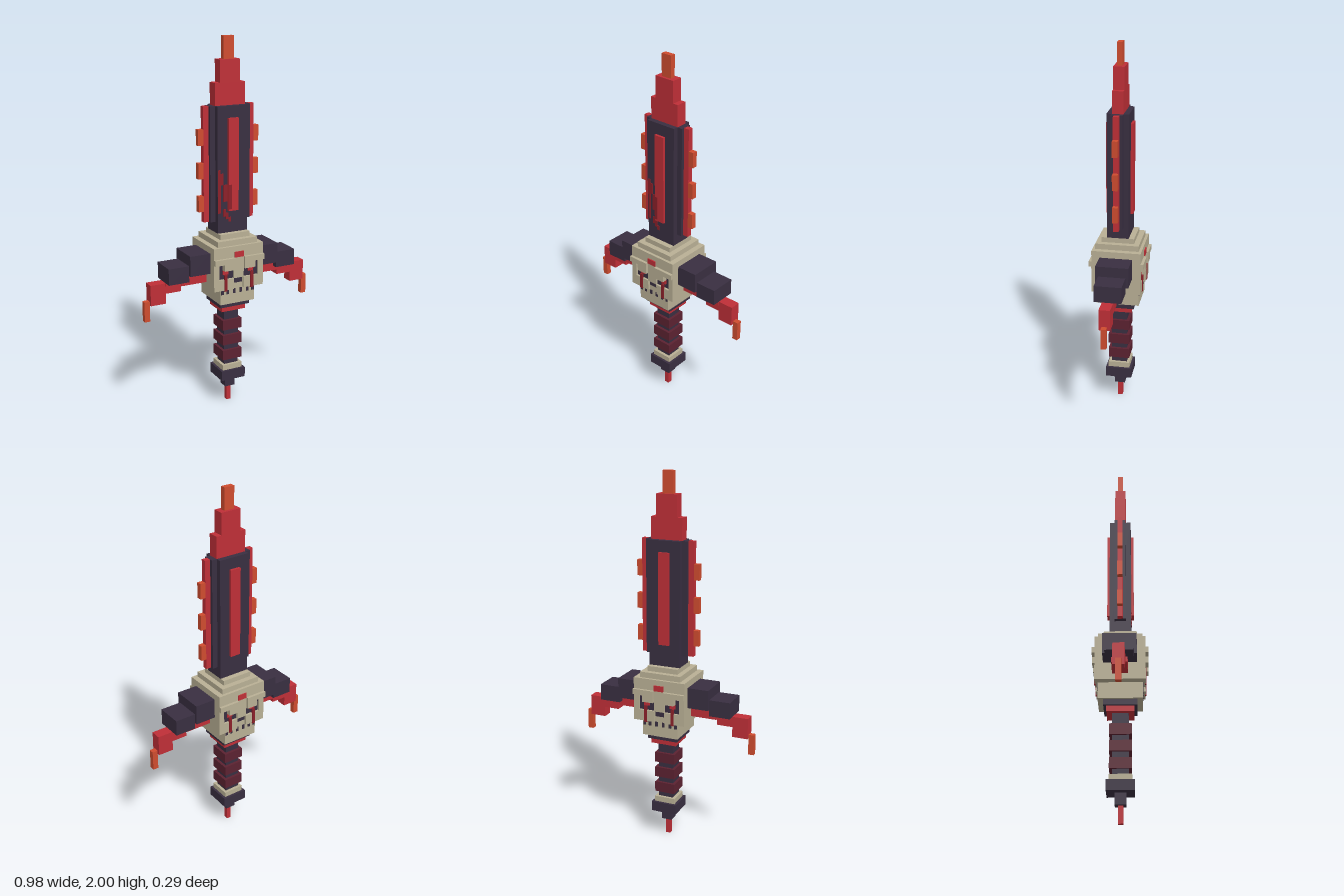
import * as THREE from 'three';

const mat = (name, color) => new THREE.MeshStandardMaterial({ name, color });

export function createModel() {
  const dark = mat('dark steel', 0x392f41);
  const red = mat('red', 0xbf2f37);
  const orange = mat('orange', 0xcf4c2f);
  const bone = mat('bone', 0xb9b095);
  const maroon = mat('maroon wrap', 0x5c2231);
  const blood = mat('dark blood', 0x8c2029);

  const model = new THREE.Group();
  model.name = 'sword';

  // Box from its minimum and maximum on each axis
  const box = (name, m, x0, x1, y0, y1, z0, z1, parent = model) => {
    const mesh = new THREE.Mesh(new THREE.BoxGeometry(x1 - x0, y1 - y0, z1 - z0), m);
    mesh.position.set((x0 + x1) / 2, (y0 + y1) / 2, (z0 + z1) / 2);
    mesh.name = name;
    parent.add(mesh);
    return mesh;
  };
  // Box centred on the sword's axis
  const block = (name, m, hx, y0, y1, hz = hx) => box(name, m, -hx, hx, y0, y1, -hz, hz);

  // Pommel and grip
  block('pommelSpike', red, 0.013, 0, 0.09);
  block('pommelNeck', dark, 0.029, 0.09, 0.15);
  block('pommel', dark, 0.071, 0.15, 0.205);
  block('pommelRing', bone, 0.058, 0.205, 0.235);
  block('grip', dark, 0.042, 0.235, 0.555);
  for (const y of [0.265, 0.353, 0.44]) block('gripWrap', maroon, 0.057, y, y + 0.056);
  block('redCollar', red, 0.071, 0.555, 0.585);
  block('darkCollar', dark, 0.086, 0.585, 0.615);

  // Skull core and stepped crown
  block('jaw', bone, 0.1, 0.615, 0.7, 0.115);
  block('skull', bone, 0.145, 0.7, 0.935, 0.115);
  block('lowerCrown', bone, 0.115, 0.935, 0.965);
  block('upperCrown', bone, 0.086, 0.965, 0.992);

  // A face on the front and another on the back
  for (const turn of [0, Math.PI]) {
    const face = new THREE.Group();
    face.name = turn ? 'backFace' : 'frontFace';
    face.rotation.y = turn;
    model.add(face);
    const f = (n, m, x0, x1, y0, y1, z0, z1) => box(n, m, x0, x1, y0, y1, z0, z1, face);
    f('forehead', bone, -0.145, 0.145, 0.845, 0.935, 0.115, 0.13);
    f('noseBridge', bone, -0.029, 0.029, 0.76, 0.845, 0.115, 0.13);
    f('noseHole', dark, -0.026, 0.026, 0.73, 0.76, 0.115, 0.118);
    f('foreheadGem', red, -0.026, 0.026, 0.875, 0.905, 0.13, 0.136);
    for (const s of [-1, 1]) {
      const g = (n, m, a, b, ...r) => f(n, m, Math.min(s * a, s * b), Math.max(s * a, s * b), ...r);
      g('innerBrow', bone, 0.029, 0.09, 0.81, 0.875, 0.115, 0.145);
      g('outerBrow', bone, 0.09, 0.145, 0.845, 0.875, 0.13, 0.145);
      g('temple', bone, 0.115, 0.145, 0.7, 0.845, 0.115, 0.13);
      g('cheek', bone, 0.029, 0.115, 0.7, 0.76, 0.115, 0.13);
      g('eyeSocket', dark, 0.029, 0.115, 0.76, 0.845, 0.115, 0.118);
      g('eye', red, 0.058, 0.09, 0.785, 0.81, 0.118, 0.123);
      g('bloodTear', blood, 0.068, 0.085, 0.695, 0.785, 0.125, 0.134);
      for (const x of [0.02, 0.058, 0.09]) g('toothGap', dark, x - 0.007, x + 0.007, 0.672, 0.698, 0.115, 0.118);
    }
  }

  // Drooping guard arms
  for (const s of [-1, 1]) {
    const arm = new THREE.Group();
    arm.name = s > 0 ? 'leftGuardArm' : 'rightGuardArm';
    model.add(arm);
    const a = (n, m, x0, x1, y0, y1, hz) =>
      box(n, m, s > 0 ? x0 : -x1, s > 0 ? x1 : -x0, y0, y1, -hz, hz, arm);
    a('innerArmor', dark, 0.145, 0.26, 0.79, 0.9, 0.086);
    a('outerArmor', dark, 0.26, 0.375, 0.757, 0.845, 0.071);
    a('innerUnderside', red, 0.145, 0.29, 0.73, 0.79, 0.04);
    a('outerUnderside', red, 0.29, 0.375, 0.7, 0.757, 0.03);
    a('guardEnd', red, 0.375, 0.46, 0.645, 0.757, 0.029);
    a('guardClaw', orange, 0.46, 0.49, 0.555, 0.665, 0.014);
  }

  // Blade body, tapering red point and raised fuller
  block('bladeCore', dark, 0.086, 0.992, 1.655, 0.057);
  block('bladeEdge', dark, 0.115, 1.05, 1.655, 0.03);
  block('fuller', red, 0.029, 1.11, 1.595, 0.071);
  block('lowerPoint', red, 0.086, 1.655, 1.77, 0.029);
  block('upperPoint', red, 0.057, 1.77, 1.885, 0.029);
  block('tip', orange, 0.029, 1.885, 2, 0.014);

  // Red cutting edges with orange teeth
  for (const s of [-1, 1]) {
    const e = (n, m, x0, x1, y0, y1) => box(n, m, s > 0 ? x0 : -x1, s > 0 ? x1 : -x0, y0, y1, -0.014, 0.014);
    e('cuttingEdge', red, 0.115, 0.145, 1.05, 1.655);
    for (const y of [1.108, 1.282, 1.456]) e('edgeTooth', orange, 0.145, 0.174, y, y + 0.083);
  }

  // Blood streaks low on the front of the blade
  const streaks = [
    [-0.085, -0.07, 1.1, 1.33], [-0.07, -0.055, 1.25, 1.31], [-0.055, -0.03, 1.16, 1.25],
    [-0.055, -0.04, 1.08, 1.12], [-0.04, -0.025, 1.065, 1.1], [-0.025, -0.01, 1.05, 1.075],
  ];
  for (const [x0, x1, y0, y1] of streaks) box('bloodStreak', blood, x0, x1, y0, y1, 0.057, 0.06);
  box('fullerBlood', blood, -0.029, -0.012, 1.12, 1.25, 0.071, 0.073);

  return model;
}
